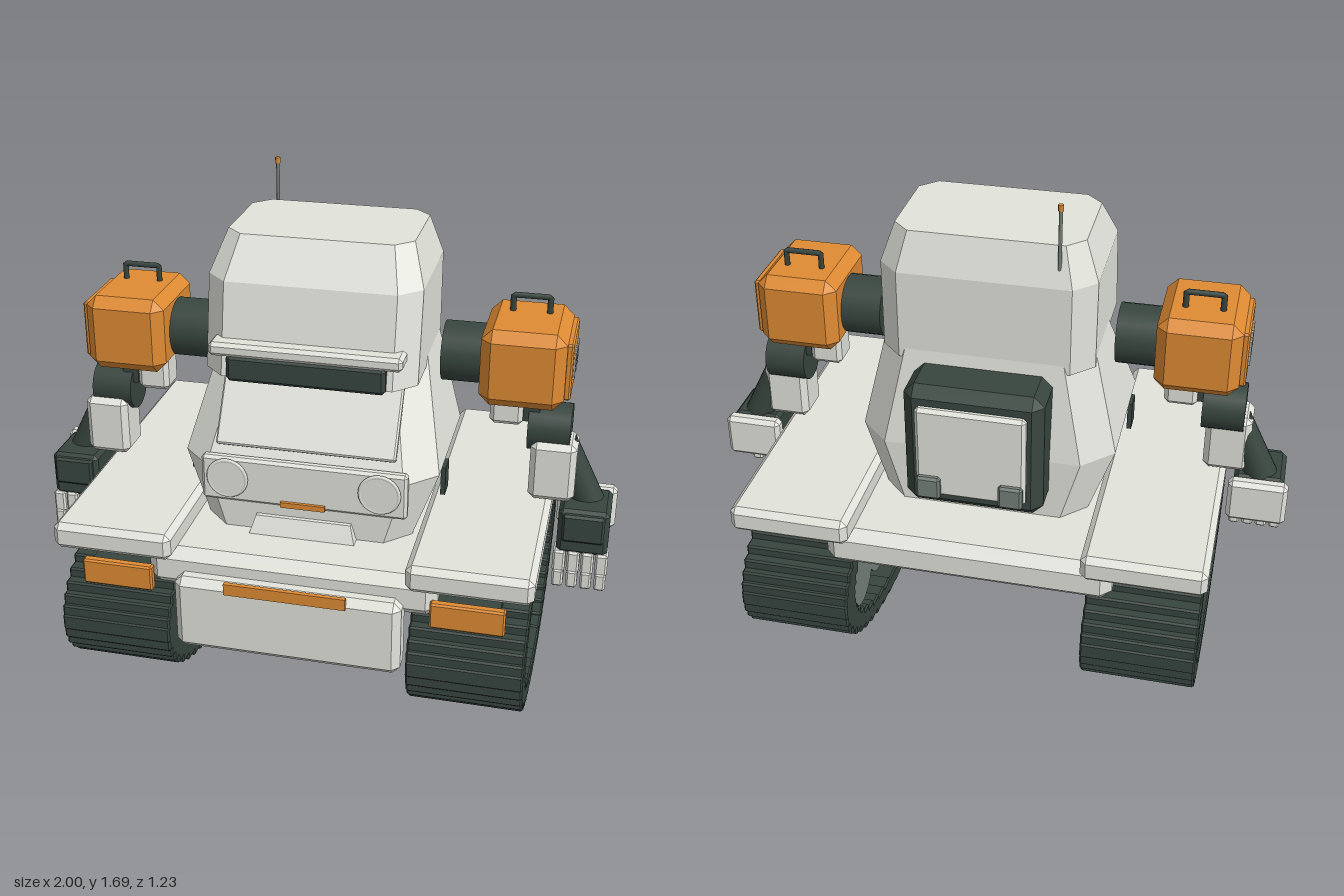
import * as THREE from 'three';
import { ConvexGeometry } from 'three/addons/geometries/ConvexGeometry.js';

const mat = (name, color) => {
  const m = new THREE.MeshStandardMaterial({ color });
  m.name = name;
  return m;
};

// Box with every edge cut at 45 degrees, given by its min and max corners
function chamferBox([x0, y0, z0], [x1, y1, z1], c) {
  const hx = (x1 - x0) / 2, hy = (y1 - y0) / 2, hz = (z1 - z0) / 2;
  const pts = [];
  for (const a of [-1, 1]) for (const b of [-1, 1]) for (const d of [-1, 1]) {
    pts.push(new THREE.Vector3(a * hx, b * (hy - c), d * (hz - c)));
    pts.push(new THREE.Vector3(a * (hx - c), b * hy, d * (hz - c)));
    pts.push(new THREE.Vector3(a * (hx - c), b * (hy - c), d * hz));
  }
  return new ConvexGeometry(pts).translate((x0 + x1) / 2, (y0 + y1) / 2, (z0 + z1) / 2);
}

function box([x0, y0, z0], [x1, y1, z1]) {
  return new THREE.BoxGeometry(x1 - x0, y1 - y0, z1 - z0)
    .translate((x0 + x1) / 2, (y0 + y1) / 2, (z0 + z1) / 2);
}

// Convex shell through eight-sided level sections: [y, half width, back z, front z, corner cut]
function shell(sections) {
  const pts = [];
  for (const [y, hx, zb, zf, c] of sections) for (const s of [-1, 1]) {
    pts.push(new THREE.Vector3(s * hx, y, zb + c), new THREE.Vector3(s * hx, y, zf - c));
    pts.push(new THREE.Vector3(s * (hx - c), y, zb), new THREE.Vector3(s * (hx - c), y, zf));
  }
  return new ConvexGeometry(pts);
}

// Cylinder along x
const axle = (r, x0, x1, y, z, n = 24) =>
  new THREE.CylinderGeometry(r, r, x1 - x0, n).rotateZ(Math.PI / 2).translate((x0 + x1) / 2, y, z);

export function createModel() {
  const shellGrey = mat('shellGrey', 0xe2e4dc);
  const dark = mat('darkGreen', 0x38453f);
  const orange = mat('orange', 0xdf8b33);
  const steel = mat('steelGrey', 0x747f79);
  const slotGrey = mat('slotGrey', 0xa9afad);

  const model = new THREE.Group();
  model.name = 'trackedRobot';
  const add = (parent, name, geo, material) => {
    const m = new THREE.Mesh(geo, material);
    m.name = name;
    parent.add(m);
    return m;
  };

  // Chassis
  add(model, 'hull', chamferBox([-0.48, 0.45, -0.56], [0.48, 0.592, 0.55], 0.035), shellGrey);
  add(model, 'bellyPlate', chamferBox([-0.3, 0.435, -0.42], [0.3, 0.5, 0.42], 0.012), shellGrey);
  add(model, 'bumper', chamferBox([-0.375, 0.255, 0.5], [0.375, 0.52, 0.605], 0.025), shellGrey);
  add(model, 'bumperStripe', box([-0.2, 0.49, 0.6], [0.2, 0.53, 0.615]), orange);
  const step = [];
  for (const s of [-1, 1]) step.push(
    new THREE.Vector3(s * 0.18, 0.585, 0.388), new THREE.Vector3(s * 0.18, 0.585, 0.3),
    new THREE.Vector3(s * 0.16, 0.65, 0.36), new THREE.Vector3(s * 0.16, 0.65, 0.3));
  add(model, 'frontStep', new ConvexGeometry(step), shellGrey);

  // Torso
  add(model, 'torso', shell([
    [0.58, 0.345, -0.32, 0.345, 0.08],
    [0.81, 0.43, -0.32, 0.345, 0.1],
    [1.15, 0.35, -0.275, 0.15, 0.09],
  ]), shellGrey);
  const chest = add(model, 'chestPlate', chamferBox([-0.3, -0.14, -0.012], [0.3, 0.14, 0.012], 0.006), shellGrey);
  chest.position.set(0, 1.0, 0.25);
  chest.rotation.x = -Math.atan2(0.15, 0.235);
  add(model, 'lightPanel', chamferBox([-0.345, 0.69, 0.32], [0.345, 0.85, 0.357], 0.01), shellGrey);
  add(model, 'chestGrille', box([-0.075, 0.693, 0.35], [0.075, 0.712, 0.368]), orange);
  for (const s of [-1, 1]) {
    const lamp = new THREE.CylinderGeometry(0.062, 0.062, 0.02, 24).rotateX(Math.PI / 2);
    add(model, 'lamp', lamp, shellGrey).position.set(s * 0.255, 0.778, 0.358);
    add(model, 'lampRing', new THREE.TorusGeometry(0.064, 0.007, 6, 24), shellGrey)
      .position.set(s * 0.255, 0.778, 0.362);
  }

  // Head
  add(model, 'head', shell([
    [1.12, 0.35, -0.275, 0.31, 0.07],
    [1.42, 0.35, -0.275, 0.25, 0.07],
    [1.55, 0.305, -0.235, 0.155, 0.055],
  ]), shellGrey);
  add(model, 'visor', chamferBox([-0.26, 1.11, 0.24], [0.26, 1.2, 0.33], 0.012), dark);
  add(model, 'brow', chamferBox([-0.315, 1.197, 0.22], [0.315, 1.243, 0.338], 0.012), shellGrey);
  add(model, 'antenna', new THREE.CylinderGeometry(0.006, 0.006, 0.29, 8).translate(-0.235, 1.53, -0.253), steel);
  add(model, 'antennaTip', new THREE.CylinderGeometry(0.009, 0.009, 0.02, 8).translate(-0.235, 1.682, -0.253), orange);

  // Backpack
  add(model, 'backpack', chamferBox([-0.228, 0.665, -0.445], [0.228, 1.11, -0.25], 0.035), dark);
  add(model, 'backpackCover', chamferBox([-0.18, 0.73, -0.475], [0.18, 1.055, -0.44], 0.012), shellGrey);
  for (const s of [-1, 1])
    add(model, 'latch', chamferBox([s * 0.135 - 0.04, 0.73, -0.497], [s * 0.135 + 0.04, 0.81, -0.47], 0.008), steel);

  // One side holds a track, fender and arm; the right side is a mirrored build
  for (const s of [1, -1]) {
    const side = new THREE.Group();
    side.name = s > 0 ? 'leftSide' : 'rightSide';
    model.add(side);
    const mirror = (lo, hi) => s > 0 ? [lo, hi] : [[-hi[0], lo[1], lo[2]], [-lo[0], hi[1], hi[2]]];
    const cbox = (name, lo, hi, c, m) => add(side, name, chamferBox(...mirror(lo, hi), c), m);
    const bx = (name, lo, hi, m) => add(side, name, box(...mirror(lo, hi)), m);
    const rod = (name, r, x0, x1, y, z, m) =>
      add(side, name, axle(r, Math.min(s * x0, s * x1), Math.max(s * x0, s * x1), y, z), m);

    // Track: upright pads set around an ellipse
    const pads = 46;
    for (let i = 0; i < pads; i++) {
      const a = (i / pads) * Math.PI * 2;
      const y = 0.293 + 0.26 * Math.sin(a), z = 0.565 * Math.cos(a) - 0.005;
      cbox('trackPad', [0.395, y - 0.029, z - 0.048], [0.77, y + 0.029, z + 0.048], 0.006, dark);
    }
    cbox('trackCore', [0.43, 0.17, -0.49], [0.72, 0.435, 0.485], 0.02, dark);
    for (let i = -2; i <= 2; i++) rod('wheel', 0.112, 0.41, 0.745, 0.29, i * 0.2 - 0.005, steel);

    // Fender and marker light
    cbox('fender', [0.383, 0.572, -0.61], [0.785, 0.665, 0.598], 0.02, shellGrey);
    cbox('markerLight', [0.46, 0.435, 0.535], [0.7, 0.525, 0.567], 0.006, orange);
    bx('markerBracket', [0.48, 0.45, 0.45], [0.68, 0.51, 0.54], dark);
    bx('sideVent', [0.424, 0.7, 0.1], [0.44, 0.8, 0.17], dark);

    // Shoulder
    rod('shoulderJoint', 0.1, 0.395, 0.54, 1.147, -0.01, dark);
    cbox('shoulderBox', [0.53, 1.03, -0.175], [0.803, 1.29, 0.17], 0.035, orange);
    cbox('shoulderPlate', [0.79, 1.062, -0.13], [0.822, 1.255, 0.122], 0.006, orange);
    for (const z of [0.058, -0.007, -0.072])
      bx('shoulderSlot', [0.82, 1.115, z - 0.008], [0.828, 1.2, z + 0.008], slotGrey);
    const rise = [[0.608, 1.27], [0.608, 1.343], [0.728, 1.343], [0.728, 1.27]];
    const path = new THREE.CurvePath();
    for (let i = 0; i < 3; i++) path.add(new THREE.LineCurve3(
      new THREE.Vector3(s * rise[i][0], rise[i][1], -0.052),
      new THREE.Vector3(s * rise[i + 1][0], rise[i + 1][1], -0.052)));
    add(side, 'handle', new THREE.TubeGeometry(path, 48, 0.01, 8), dark);

    // Arm
    cbox('upperArm', [0.56, 0.92, -0.06], [0.67, 1.06, 0.05], 0.015, shellGrey);
    bx('armNeck', [0.67, 0.94, -0.05], [0.725, 1.04, 0.045], dark);
    rod('elbow', 0.083, 0.69, 0.83, 0.91, -0.003, dark);
    cbox('forearm', [0.705, 0.675, -0.05], [0.858, 0.885, 0.095], 0.02, shellGrey);
    const strut = add(side, 'wristStrut', new THREE.CylinderGeometry(0.045, 0.06, 0.28, 16), dark);
    strut.position.set(s * 0.865, 0.735, 0.002);
    strut.rotation.z = s * Math.atan2(0.1, 0.23);

    // Hand
    cbox('palm', [0.815, 0.505, -0.06], [0.985, 0.67, 0.13], 0.015, dark);
    cbox('handBack', [0.8, 0.515, -0.105], [1.0, 0.67, -0.05], 0.015, shellGrey);
    cbox('knuckleBar', [0.83, 0.56, 0.12], [0.97, 0.66, 0.148], 0.008, dark);
    for (let i = 0; i < 4; i++) {
      const x = 0.828 + i * 0.047;
      cbox('fingerBase', [x - 0.021, 0.435, 0.06], [x + 0.021, 0.515, 0.135], 0.007, shellGrey);
      cbox('fingerTip', [x - 0.019, 0.38, 0.062], [x + 0.019, 0.445, 0.14], 0.007, shellGrey);
    }
  }
  return model;
}
